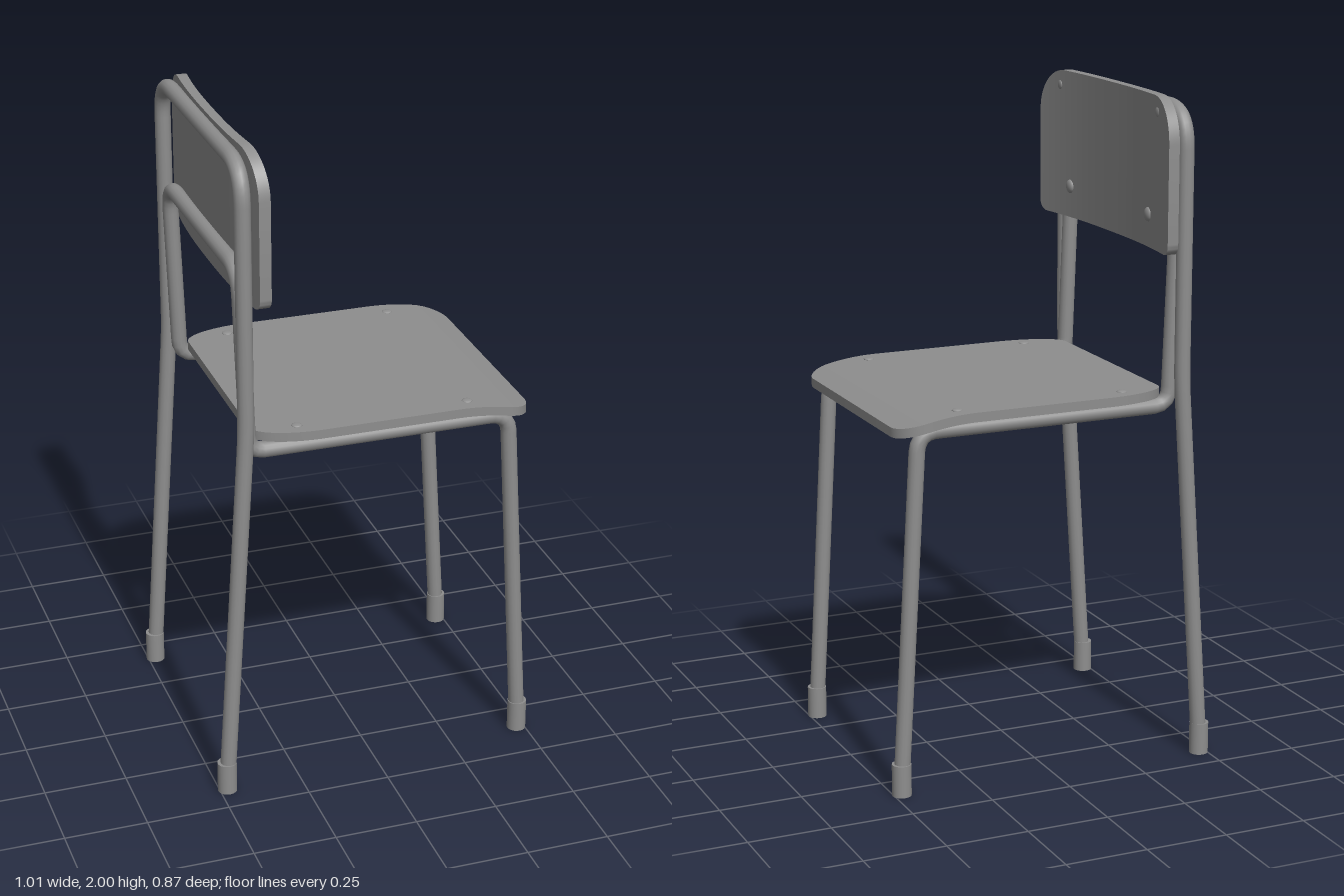
import * as THREE from 'three';
import { toCreasedNormals } from 'three/addons/utils/BufferGeometryUtils.js';

const V = (x, y, z) => new THREE.Vector3(x, y, z);
const TUBE_R = 0.024;
const material = new THREE.MeshStandardMaterial({ color: 0x8e8e8e });

function add(group, name, geometry, x = 0, y = 0, z = 0) {
  const mesh = new THREE.Mesh(geometry, material);
  mesh.name = name;
  mesh.position.set(x, y, z);
  group.add(mesh);
  return mesh;
}

// Bent steel tube: corner points joined by straight runs and rounded bends
function bentTube(points, radii) {
  const path = new THREE.CurvePath();
  let from = points[0];
  for (let i = 1; i < points.length - 1; i++) {
    const p = points[i], r = radii[i - 1];
    const a = p.clone().add(points[i - 1].clone().sub(p).setLength(r));
    const b = p.clone().add(points[i + 1].clone().sub(p).setLength(r));
    path.add(new THREE.LineCurve3(from, a));
    path.add(new THREE.QuadraticBezierCurve3(a, p, b));
    from = b;
  }
  path.add(new THREE.LineCurve3(from, points[points.length - 1]));
  return new THREE.TubeGeometry(path, 260, TUBE_R, 14, false);
}

// Half a frame is given on +z; the other half is mirrored
function mirroredTube(half, radii) {
  const other = half.map((p) => V(p.x, p.y, -p.z)).reverse();
  return bentTube([...half, ...other], [...radii, ...[...radii].reverse()]);
}

// Thin panel swept through four-cornered cross-sections
function slab(sections) {
  const pos = [];
  const quad = (a, b, c, d) => [a, b, c, a, c, d].forEach((p) => pos.push(p.x, p.y, p.z));
  for (let i = 0; i < sections.length - 1; i++) {
    const a = sections[i], b = sections[i + 1];
    for (let k = 0; k < 4; k++) {
      const n = (k + 1) % 4;
      quad(a[k], a[n], b[n], b[k]);
    }
  }
  const first = sections[0], last = sections[sections.length - 1];
  quad(first[3], first[2], first[1], first[0]);
  quad(last[0], last[1], last[2], last[3]);
  const geometry = new THREE.BufferGeometry();
  geometry.setAttribute('position', new THREE.Float32BufferAttribute(pos, 3));
  return toCreasedNormals(geometry, 0.6);
}

// How far a rounded corner cuts in, at distance d from the end
const cornerCut = (d, r) => (d >= r ? 0 : r - Math.sqrt(Math.max(0, r * r - (r - d) ** 2)));

// Stations from lo to hi, crowded towards both ends
const stations = (lo, hi, n) =>
  Array.from({ length: n + 1 }, (_, i) => lo + ((hi - lo) * (1 - Math.cos((Math.PI * i) / n))) / 2);

const BACK_W = 0.435;
const seatTop = (x) => 1.143 - 0.037 * Math.max(0, (x - 0.25) / 0.235) ** 2;
const backBend = (z) => Math.abs(z / BACK_W) ** 2.5;
const backFront = (z) => -0.362 + 0.032 * backBend(z);

function seatGeometry() {
  const x0 = -0.362, x1 = 0.487;
  return slab(stations(x0, x1, 48).map((x) => {
    // Long elliptical taper at the rear, tight round corners at the front
    const d = Math.min(1, (x - x0) / 0.2);
    const w = 0.4 - 0.082 * (1 - Math.sqrt(1 - (1 - d) ** 2)) - cornerCut(x1 - x, 0.085);
    const top = seatTop(x), low = top - 0.028;
    return [V(x, top, -w), V(x, top, w), V(x, low, w), V(x, low, -w)];
  }));
}

function backrestGeometry() {
  return slab(stations(-BACK_W, BACK_W, 56).map((z) => {
    const d = BACK_W - Math.abs(z);
    const hi = 2 - cornerCut(d, 0.13), lo = 1.549 + cornerCut(d, 0.035);
    const front = backFront(z), rear = front - 0.028 - 0.006 * backBend(z);
    return [V(front, lo, z), V(front, hi, z), V(rear, hi, z), V(rear, lo, z)];
  }));
}

export function createModel() {
  const chair = new THREE.Group();
  chair.name = 'chair';

  // Rear hoop: back legs, uprights and top rail
  add(chair, 'rearFrame', mirroredTube(
    [V(-0.476, 0.04, 0.408), V(-0.401, 1.17, 0.403), V(-0.402, 1.966, 0.403)], [0.06, 0.11]));

  // Front hoop: front legs, seat rails, inner uprights and cross rail
  add(chair, 'frontFrame', mirroredTube(
    [V(0.476, 0.04, 0.356), V(0.417, 1.09, 0.356), V(-0.381, 1.09, 0.356), V(-0.401, 1.65, 0.356)],
    [0.06, 0.05, 0.08]));

  add(chair, 'seat', seatGeometry(), 0, 0, -0.007);
  add(chair, 'backrest', backrestGeometry());

  const rivet = new THREE.SphereGeometry(1, 16, 10);
  const foot = new THREE.CylinderGeometry(0.029, 0.029, 0.097, 20);
  for (const side of [-1, 1]) {
    // Rubber feet
    add(chair, 'rearFoot', foot, -0.477, 0.0485, side * 0.407);
    add(chair, 'frontFoot', foot, 0.476, 0.0485, side * 0.356);

    // Seat rivets
    for (const x of [-0.23, 0.293])
      add(chair, 'seatRivet', rivet, x, seatTop(x), side * 0.346 - 0.006).scale.set(0.016, 0.005, 0.016);

    // Backrest rivets
    add(chair, 'lowerBackRivet', rivet, backFront(0.265), 1.645, side * 0.265).scale.set(0.01, 0.021, 0.021);
    add(chair, 'upperBackRivet', rivet, backFront(0.328), 1.953, side * 0.328).scale.set(0.004, 0.014, 0.014);
  }
  return chair;
}
